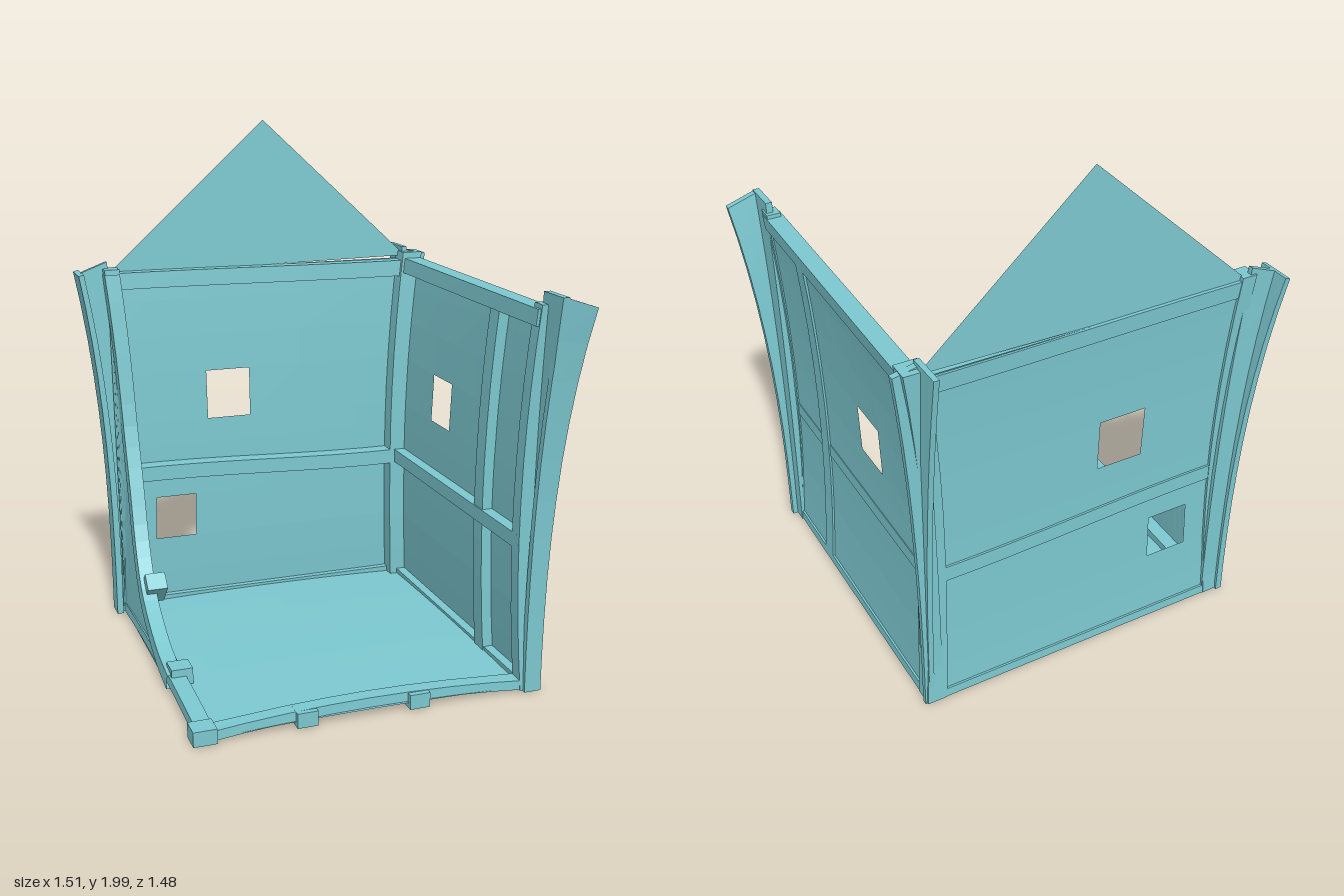
import * as THREE from 'three';

const mat = new THREE.MeshStandardMaterial({ color: 0x7cc8d0, flatShading: true, side: THREE.DoubleSide });
const TOP = 1.42;

// Crooked-house warp: walls pinch in at mid height and lean out at the top
function warp(x, y, z) {
  const low = Math.max(0, 0.6 - y) / 0.6;
  const high = Math.max(0, y - 0.6) / 0.82;
  const fx = 0.02 * low * low + (x > 0 ? 0.05 - 0.02 * z : 0.04) * high * high;
  const fz = 0.02 * low * low + 0.03 * high * high;
  return [x * (1 + fx / 0.6), y, z * (1 + fz / 0.6)];
}

function add(group, name, geometry) {
  geometry.computeVertexNormals();
  const mesh = new THREE.Mesh(geometry, mat);
  mesh.name = name;
  group.add(mesh);
  return mesh;
}

// Move every vertex by a rule
function bend(geometry, rule) {
  const p = geometry.attributes.position;
  for (let i = 0; i < p.count; i++) p.setXYZ(i, ...rule(p.getX(i), p.getY(i), p.getZ(i)));
  return geometry;
}

// Segmented box from min to max corners, warped with the house
function beam(group, name, a, b, rule = warp) {
  const s = b.map((v, i) => v - a[i]);
  const n = s.map(v => Math.max(1, Math.round(v / 0.15)));
  const g = new THREE.BoxGeometry(...s, ...n);
  g.translate((a[0] + b[0]) / 2, (a[1] + b[1]) / 2, (a[2] + b[2]) / 2);
  return add(group, name, bend(g, rule));
}

// Surface over a grid of u and v values, leaving out the window cells
function panel(group, name, us, vs, rule, holes = []) {
  const pos = [], index = [];
  vs.forEach(v => us.forEach(u => pos.push(...rule(u, v))));
  for (let j = 0; j < vs.length - 1; j++) {
    for (let i = 0; i < us.length - 1; i++) {
      const u = (us[i] + us[i + 1]) / 2, v = (vs[j] + vs[j + 1]) / 2;
      if (holes.some(h => u > h[0] && u < h[1] && v > h[2] && v < h[3])) continue;
      const a = j * us.length + i, c = a + us.length;
      index.push(a, a + 1, c + 1, a, c + 1, c);
    }
  }
  const g = new THREE.BufferGeometry();
  g.setAttribute('position', new THREE.Float32BufferAttribute(pos, 3));
  g.setIndex(index);
  return add(group, name, g);
}

// Flared corner board: [x0, x1, z0, z1] blends from foot to head
function cornerBoard(group, name, foot, head, topY, outDrop) {
  const g = new THREE.BoxGeometry(1, 1, 1, 1, 10, 1);
  add(group, name, bend(g, (x, y, z) => {
    const t = y + 0.5, k = Math.pow(t, 2.4);
    const r = foot.map((v, i) => v + (head[i] - v) * k);
    const px = r[0] + (r[1] - r[0]) * (x + 0.5);
    const pz = r[2] + (r[3] - r[2]) * (z + 0.5);
    const drop = outDrop * k * Math.max(0, Math.abs(px) - 0.63) / 0.12;
    return [px, 0.01 + (topY - 0.01) * t - drop, pz];
  }));
}

const range = (a, b, n) => Array.from({ length: n + 1 }, (_, i) => a + (b - a) * i / n);

export function createModel() {
  const house = new THREE.Group();
  house.name = 'cornerHouse';

  // Floor, bowed up in the middle, with edge beams
  const bow = u => 0.025 * (1 - (u / 0.6) ** 2);
  const grid = range(-0.6, 0.6, 8);
  panel(house, 'floor', grid, grid, (x, z) => warp(x, 0.025 + 0.5 * (bow(x) + bow(z)), -z));
  const bowed = (x, y, z) => {
    const p = warp(x, y, z);
    return [p[0], y + bow(Math.abs(x) > 0.55 ? z : x), p[2] - (z > 0.5 ? bow(x) * 0.6 : 0)];
  };
  beam(house, 'frontFloorBeam', [-0.6, 0.015, 0.55], [0.6, 0.05, 0.605], bowed);
  beam(house, 'rightFloorBeam', [-0.61, 0.015, -0.6], [-0.55, 0.05, 0.6], bowed);

  // Beam clamps along the open floor edges
  for (const x of [-0.24, 0.18]) {
    beam(house, 'frontClamp', [x - 0.038, 0.015, 0.555], [x + 0.038, 0.07, 0.63], (a, b, c) => [a, b, c]);
  }
  beam(house, 'sideClamp', [-0.62, 0.03, 0.14], [-0.54, 0.1, 0.22], (a, b, c) => [a, b, c]);
  beam(house, 'cornerClamp', [-0.65, 0.015, 0.56], [-0.565, 0.07, 0.64], (a, b, c) => [a, b, c]);

  // Back wall with two windows
  panel(house, 'backWall',
    [-0.6, -0.47, -0.305, -0.245, -0.065, 0.15, 0.4, 0.6],
    [0.02, 0.15, 0.3, 0.48, 0.6, 0.7, 0.8, 1.0, 1.15, 1.3, TOP],
    (x, y) => warp(x, y, -0.605),
    [[-0.47, -0.305, 0.3, 0.48], [-0.245, -0.065, 0.8, 1.0]]);

  // Left wall with one window
  panel(house, 'leftWall',
    [-0.6, -0.42, -0.27, -0.1, 0.1, 0.35, 0.6],
    [0.02, 0.15, 0.3, 0.45, 0.6, 0.7, 0.8, 0.99, 1.15, 1.3, TOP],
    (z, y) => warp(0.605, y, -(-z)),
    [[-0.27, -0.1, 0.8, 0.99]]);

  // Horizontal beams, gently wavy
  const wavy = (x, y, z) => {
    const p = warp(x, y, z);
    p[1] += 0.015 * Math.sin(-x * 3) * (y < 1 ? 1 : 0.3);
    return p;
  };
  beam(house, 'backMiddleBeam', [-0.6, 0.56, -0.613], [0.58, 0.62, -0.54], wavy);
  beam(house, 'backTopBeam', [-0.6, 1.355, -0.613], [0.6, TOP, -0.555], wavy);
  beam(house, 'backBottomBeam', [-0.6, 0.015, -0.613], [0.6, 0.05, -0.58]);
  beam(house, 'leftMiddleBeam', [0.56, 0.55, -0.6], [0.608, 0.605, 0.6]);
  beam(house, 'leftTopBeam', [0.55, 1.365, -0.6], [0.613, TOP + 0.005, 0.6]);
  beam(house, 'leftBottomBeam', [0.57, 0.015, -0.6], [0.613, 0.05, 0.6]);
  beam(house, 'leftWallStud', [0.565, 0.02, 0.23], [0.613, 1.4, 0.3]);

  // Inner corner posts
  beam(house, 'backLeftPost', [0.54, 0.015, -0.615], [0.615, 1.45, -0.54]);
  beam(house, 'backRightPost', [-0.615, 0.015, -0.615], [-0.56, 1.44, -0.55]);
  beam(house, 'frontLeftPost', [0.56, 0.015, 0.55], [0.61, 1.44, 0.605]);

  // Flared corner boards, two on each post
  cornerBoard(house, 'frontLeftBoard', [0.59, 0.655, 0.61, 0.635], [0.63, 0.755, 0.71, 0.735], 1.48, 0.04);
  cornerBoard(house, 'frontLeftBoard', [0.61, 0.635, 0.56, 0.635], [0.62, 0.645, 0.6, 0.735], 1.48, 0);
  cornerBoard(house, 'backLeftBoard', [0.605, 0.625, -0.63, -0.56], [0.605, 0.625, -0.74, -0.6], 1.47, 0);
  cornerBoard(house, 'backLeftBoard', [0.57, 0.64, -0.625, -0.605], [0.61, 0.71, -0.625, -0.6], 1.46, 0.03);
  cornerBoard(house, 'backRightBoard', [-0.66, -0.635, -0.64, -0.56], [-0.76, -0.74, -0.7, -0.57], 1.46, 0.035);
  cornerBoard(house, 'backRightBoard', [-0.66, -0.57, -0.63, -0.605], [-0.76, -0.64, -0.64, -0.62], 1.47, 0.045);

  // Pointed gable over the back wall
  const gable = new THREE.BufferGeometry();
  gable.setAttribute('position', new THREE.Float32BufferAttribute(
    [-0.64, 1.41, -0.63, 0.63, 1.43, -0.63, 0.01, 2, -0.637], 3));
  add(house, 'gable', gable);

  // Broken right wall sweeping down to the floor, with a trim beam on its edge
  const sweep = new THREE.CatmullRomCurve3([
    [-0.57, 1.42], [-0.55, 1.1], [-0.52, 0.82], [-0.45, 0.58], [-0.37, 0.38],
    [-0.25, 0.22], [-0.1, 0.13], [0.05, 0.075], [0.2, 0.05],
  ].map(([z, y]) => new THREE.Vector3(-0.59, y, z)));
  const steps = range(0, 1, 24);
  panel(house, 'brokenRightWall', steps, [0, 1], (t, v) => {
    const p = sweep.getPoint(t);
    return warp(-0.605, 0.02 + (p.y - 0.02) * v, p.z);
  });
  const half = 0.028;
  const section = [[-1, -1], [1, -1], [1, 1], [-1, 1], [-1, -1]];
  panel(house, 'brokenWallTrim', steps, [0, 1, 2, 3, 4], (t, k) => {
    const p = sweep.getPoint(t), d = sweep.getTangent(t);
    const [sx, sn] = section[k];
    return warp(p.x + sx * half, p.y + d.z * sn * half, p.z - d.y * sn * half);
  });

  // Tilted clamp on the sweeping trim
  const clamp = add(house, 'trimClamp', new THREE.BoxGeometry(0.078, 0.11, 0.07));
  clamp.position.set(-0.57, 0.235, -0.25);
  clamp.rotation.x = 0.75;

  return house;
}
